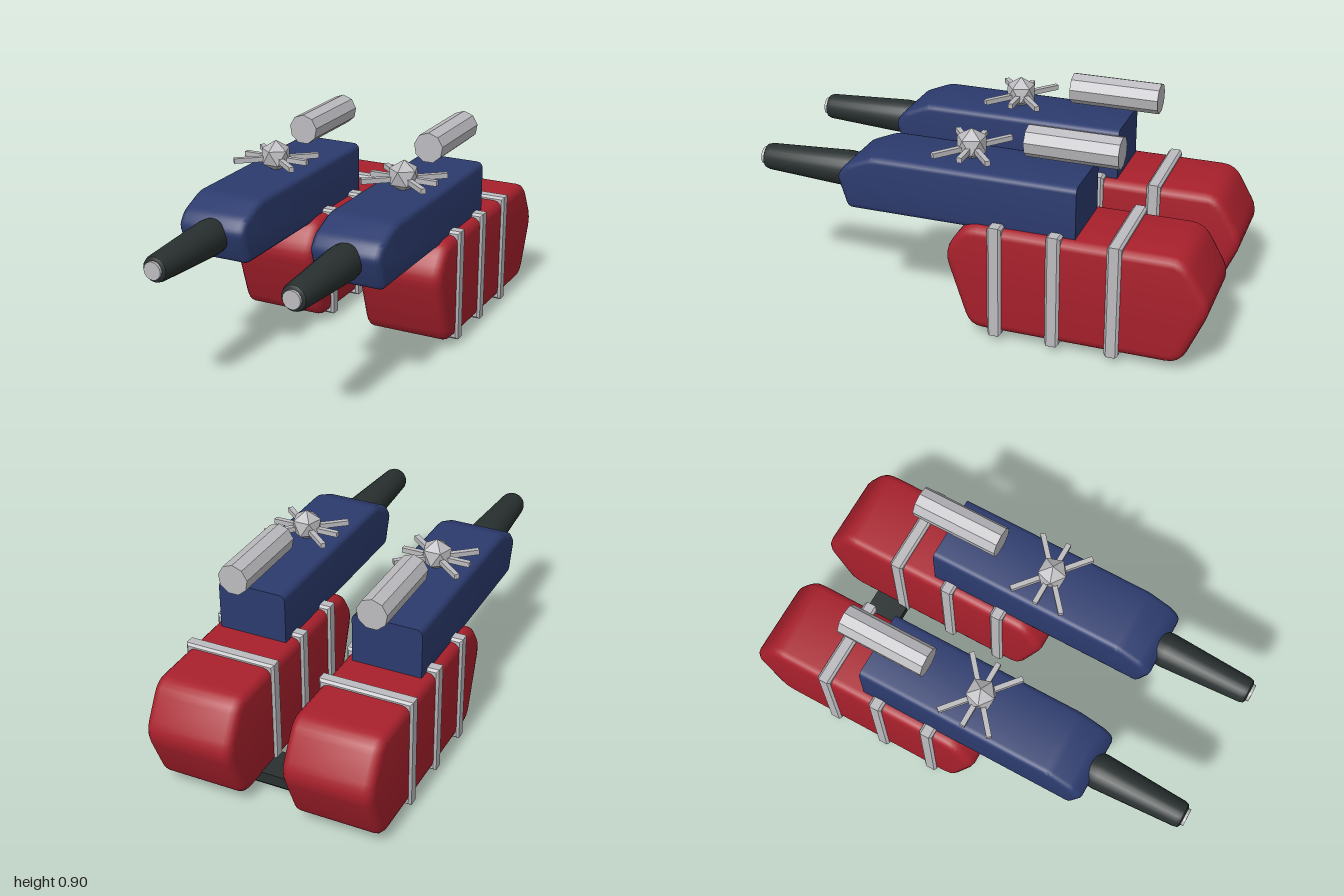
import * as THREE from 'three';
import { toCreasedNormals } from 'three/addons/utils/BufferGeometryUtils.js';

const material = (name, color) => Object.assign(new THREE.MeshStandardMaterial({ color }), { name });

// Closed polygon whose corners are rounded by distance r
function roundedShape(corners, r) {
  const pts = corners.map(([x, y]) => new THREE.Vector2(x, y));
  const shape = new THREE.Shape();
  const toward = (a, b) => a.clone().add(b.clone().sub(a).setLength(Math.min(r, a.distanceTo(b) * 0.45)));
  pts.forEach((p, i) => {
    const start = toward(p, pts[(i + pts.length - 1) % pts.length]);
    const end = toward(p, pts[(i + 1) % pts.length]);
    if (i === 0) shape.moveTo(start.x, start.y);
    else shape.lineTo(start.x, start.y);
    shape.quadraticCurveTo(p.x, p.y, end.x, end.y);
  });
  shape.closePath();
  return shape;
}

// Bevelled extrusion, centred on its depth, keeping the shape's outer size
function bevelled(shape, depth, bevel, segments) {
  const g = new THREE.ExtrudeGeometry(shape, {
    depth: depth - 2 * bevel, bevelThickness: bevel, bevelSize: bevel,
    bevelOffset: -bevel, bevelSegments: segments, curveSegments: 4,
  });
  return g.translate(0, 0, bevel - depth / 2);
}

const rect = (x0, x1, y0, y1) => [[x0, y0], [x1, y0], [x1, y1], [x0, y1]];

export function createModel() {
  const red = material('tank red', 0xa8202c);
  const blue = material('body blue', 0x2c3b6e);
  const dark = material('dark metal', 0x28302f);
  const grey = material('light metal', 0xbcbcc0);
  const flatGeo = (g) => { const n = g.index ? g.toNonIndexed() : g; n.computeVertexNormals(); return n; };

  // Tank: side profile (z, y) extruded across x
  const tankGeo = toCreasedNormals(bevelled(roundedShape([
    [0.015, 0.505], [-0.9, 0.505], [-1.015, 0.305], [-0.9, 0.038], [-0.005, 0.038], [0.105, 0.37],
  ], 0.06), 0.386, 0.035, 3).rotateY(-Math.PI / 2), 0.7);

  // Upper body: sloped nose, flat rear face
  const bodyRaw = bevelled(roundedShape([
    [0.43, 0.725], [-0.45, 0.725], [-0.45, 0.48], [0.545, 0.48], [0.59, 0.62], [0.55, 0.675],
  ], 0.025), 0.306, 0.025, 3).rotateY(-Math.PI / 2);
  const bp = bodyRaw.attributes.position;
  for (let i = 0; i < bp.count; i++) if (bp.getZ(i) < -0.4) bp.setZ(i, -0.45);
  const bodyGeo = toCreasedNormals(bodyRaw, 0.7);

  // Strap: rectangular hoop around the tank
  const strapShape = new THREE.Shape(rect(-0.203, 0.203, 0.025, 0.522).map(([x, y]) => new THREE.Vector2(x, y)));
  strapShape.holes.push(new THREE.Path(rect(-0.16, 0.16, 0.07, 0.475).reverse().map(([x, y]) => new THREE.Vector2(x, y))));
  const strapGeo = bevelled(strapShape, 0.06, 0.01, 1);

  // Tapered barrel and its tip
  const barrelGeo = toCreasedNormals(new THREE.LatheGeometry([
    [0, 0.5], [0.045, 0.505], [0.064, 0.53], [0.074, 0.565], [0.077, 0.6],
    [0.057, 0.965], [0.052, 0.982], [0.04, 0.988], [0, 0.988],
  ].map(([r, z]) => new THREE.Vector2(r, z)), 24).rotateX(Math.PI / 2), 0.7);
  const tipGeo = flatGeo(new THREE.CylinderGeometry(0.038, 0.038, 0.03, 16).rotateX(Math.PI / 2));

  // Nine-sided floating cylinder
  const canisterGeo = flatGeo(new THREE.CylinderGeometry(0.067, 0.067, 0.39, 9).rotateX(-Math.PI / 2));

  // Faceted gem standing on one vertex, an upper-ring vertex facing forward
  const gemGeo = new THREE.IcosahedronGeometry(0.07, 0);
  const gp = gemGeo.attributes.position;
  const tipVertex = new THREE.Vector3().fromBufferAttribute(gp, 0).normalize();
  gemGeo.applyQuaternion(new THREE.Quaternion().setFromUnitVectors(tipVertex, new THREE.Vector3(0, 1, 0)));
  for (let i = 0; i < gp.count; i++) {
    if (gp.getY(i) > 0.02 && gp.getY(i) < 0.05) {
      gemGeo.rotateY(-Math.atan2(gp.getX(i), gp.getZ(i)));
      break;
    }
  }
  gemGeo.computeVertexNormals();

  const model = new THREE.Group();
  model.name = 'model';
  const add = (parent, name, geo, mat, x = 0, y = 0, z = 0) => {
    const mesh = new THREE.Mesh(geo, mat);
    mesh.name = name;
    mesh.position.set(x, y, z);
    parent.add(mesh);
    return mesh;
  };

  for (const side of [-1, 1]) {
    const pod = new THREE.Group();
    pod.name = side > 0 ? 'leftPod' : 'rightPod';
    pod.position.x = side * 0.304;
    model.add(pod);
    add(pod, 'tank', tankGeo, red);
    add(pod, 'body', bodyGeo, blue);
    for (const z of [-0.122, -0.37, -0.622]) add(pod, 'strap', strapGeo, grey, 0, 0, z);
    add(pod, 'barrel', barrelGeo, dark, 0, 0.59, 0);
    add(pod, 'barrelTip', tipGeo, grey, 0, 0.59, 0.985);
    add(pod, 'canister', canisterGeo, grey, 0, 0.837, -0.395);

    // Gem with six radiating spokes
    add(pod, 'gem', gemGeo, grey, 0, 0.784, 0.043);
    for (const [length, angle] of [[0.302, 0], [0.37, 0.7], [0.37, -0.7]]) {
      add(pod, 'spoke', new THREE.BoxGeometry(length, 0.022, 0.022), grey, 0, 0.773, 0.04).rotation.y = angle;
    }
  }

  // Cross plate under both tanks, lower edges chamfered
  const plateGeo = new THREE.BoxGeometry(0.83, 0.067, 0.16, 1, 2, 1).translate(0, 0.0335, 0);
  const pp = plateGeo.attributes.position;
  for (let i = 0; i < pp.count; i++) {
    const y = pp.getY(i);
    if (y < 0.01) pp.setXYZ(i, pp.getX(i) * 0.96, 0, pp.getZ(i) * 0.8);
    else if (y < 0.05) pp.setY(i, 0.018);
  }
  add(model, 'crossPlate', flatGeo(plateGeo), dark, 0, 0, -0.68);

  return model;
}
